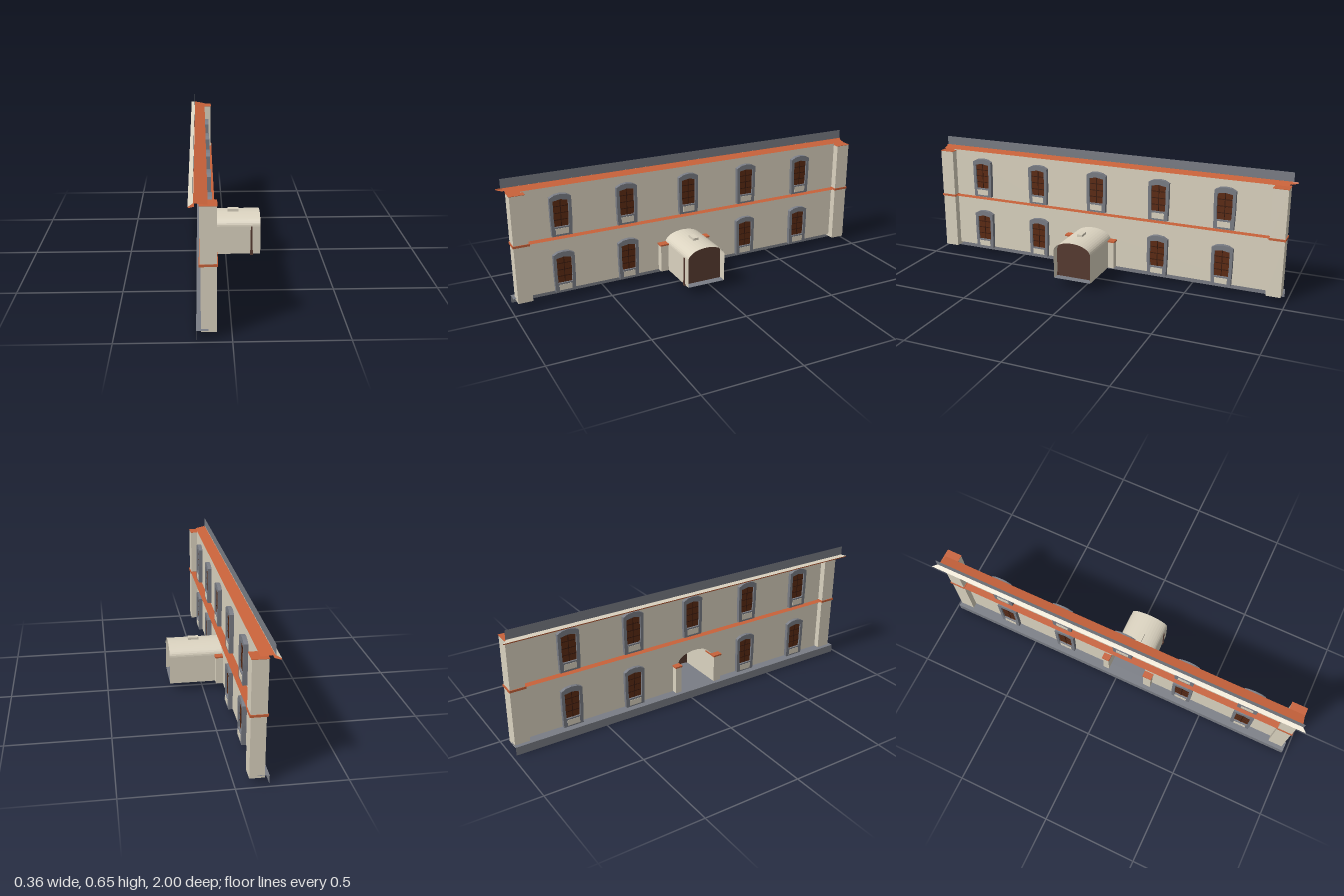
import * as THREE from 'three';

const mat = (color) => new THREE.MeshStandardMaterial({ color, side: THREE.DoubleSide, flatShading: true });
const stone = mat(0xdbd3c0), orange = mat(0xc8623a), slate = mat(0x7a7d85);
const wood = mat(0x5c2a12), darkWood = mat(0x3a1a0c), doorWood = mat(0x573a30);

function add(parent, name, geometry, material) {
  const mesh = new THREE.Mesh(geometry, material);
  mesh.name = name;
  parent.add(mesh);
  return mesh;
}

// Box given by its limits on each axis
function box(x0, x1, y0, y1, z0, z1) {
  return new THREE.BoxGeometry(x1 - x0, y1 - y0, z1 - z0)
    .translate((x0 + x1) / 2, (y0 + y1) / 2, (z0 + z1) / 2);
}

// Shape drawn in (z, y), given thickness along x
function extrudeX(shape, x0, x1) {
  return new THREE.ExtrudeGeometry(shape, { depth: x1 - x0, bevelEnabled: false, curveSegments: 16 })
    .rotateY(-Math.PI / 2).translate(x1, 0, 0);
}

// Open strip between matching rows of points
function strip(rowA, rowB) {
  const pos = [], index = [];
  rowA.forEach((a, i) => {
    pos.push(...a, ...rowB[i]);
    if (i) {
      const k = 2 * i;
      index.push(k - 2, k - 1, k, k, k - 1, k + 1);
    }
  });
  const g = new THREE.BufferGeometry();
  g.setAttribute('position', new THREE.Float32BufferAttribute(pos, 3));
  g.setIndex(index);
  g.computeVertexNormals();
  return g;
}

// Profile of [x, y, half length] run along z, without end caps
const run = (profile) => strip(
  profile.map(([x, y, h]) => [x, y, h]),
  profile.map(([x, y, h]) => [x, y, -h]));

// Passage outline in (z, y): straight sides under a flattened arch
const Z0 = -0.052, Z1 = 0.153, FLOOR = 0.043, SPRING = 0.192, CROWN = 0.246;
function archPoints(inset = 0) {
  const c = (Z0 + Z1) / 2, r = (Z1 - Z0) / 2 - inset;
  const pts = [[c + r, FLOOR]];
  for (let i = 0; i <= 20; i++) {
    const a = Math.PI * i / 20;
    pts.push([c + r * Math.cos(a), SPRING + (CROWN - inset - SPRING) * Math.sin(a)]);
  }
  pts.push([c - r, FLOOR]);
  return pts;
}
const toVectors = (pts) => pts.map(([z, y]) => new THREE.Vector2(z, y));

// Window surround outline with a cambered head
function windowOutline(halfWidth, bottom, shoulder, top) {
  return toVectors([
    [-halfWidth * 0.94, bottom], [halfWidth * 0.94, bottom], [halfWidth, shoulder * 0.5],
    [halfWidth, shoulder], [halfWidth * 0.55, top - 0.004], [0, top],
    [-halfWidth * 0.55, top - 0.004], [-halfWidth, shoulder], [-halfWidth, shoulder * 0.5]]);
}

function makeWindow() {
  const g = new THREE.Group();
  g.name = 'window';
  const frame = new THREE.Shape(windowOutline(0.055, 0, 0.2, 0.217));
  frame.holes.push(new THREE.Path(windowOutline(0.039, 0.048, 0.183, 0.19)));
  add(g, 'windowFrame', extrudeX(frame, -0.021, 0.021), slate);
  add(g, 'windowShutter', box(-0.012, 0.012, 0.047, 0.19, -0.04, 0.04), wood);
  add(g, 'shutterMullion', box(-0.014, 0.014, 0.048, 0.188, -0.002, 0.002), darkWood);
  for (const y of [0.083, 0.118, 0.153])
    add(g, 'shutterRail', box(-0.014, 0.014, y - 0.002, y + 0.002, -0.038, 0.038), darkWood);
  add(g, 'sillPanel', box(-0.0225, 0.0225, 0.01, 0.04, -0.033, 0.033), stone);
  return g;
}

export function createModel() {
  const model = new THREE.Group();
  model.name = 'facade';

  // Main wall, cut by the arched passage
  const wall = new THREE.Shape(toVectors([
    [-0.9, FLOOR], ...archPoints().reverse(), [0.9, FLOOR], [0.9, 0.594], [-0.9, 0.594]]));
  add(model, 'wall', extrudeX(wall, -0.103, -0.1), stone);

  // Windows on two storeys; the passage takes the middle bay below
  [0.715, 0.37, 0.025, -0.32, -0.665].forEach((z, i) => {
    for (const y of [0.04, 0.342]) {
      if (i === 2 && y < 0.1) continue;
      const w = makeWindow();
      w.position.set(-0.1, y, z);
      model.add(w);
    }
  });

  // Corner pillars with string-course lips and caps
  for (const [name, z0, z1] of [['left', 0.89, 0.965], ['right', -0.975, -0.9]]) {
    add(model, name + 'LowerPillar', box(-0.132, -0.064, 0.03, 0.326, z0, z1), stone);
    add(model, name + 'UpperPillar', box(-0.135, -0.063, 0.336, 0.588, z0, z1), stone);
    add(model, name + 'PillarBand', box(-0.139, -0.059, 0.326, 0.337, z0 - 0.004, z1 + 0.004), orange);
    add(model, name + 'PillarCap', box(-0.137, -0.061, 0.587, 0.589, z0 - 0.002, z1 + 0.002), orange);
  }

  // String course between storeys
  add(model, 'stringCourse', run([[-0.138, 0.334, 0.965], [-0.06, 0.334, 0.965]]), orange);

  // Cornice, its pale sloping lip, and the parapet strip
  add(model, 'corniceTop', run([[-0.1, 0.594, 0.965], [-0.158, 0.603, 0.975]]), orange);
  add(model, 'corniceLip', run([[-0.158, 0.604, 0.975], [-0.18, 0.597, 1]]), stone);
  add(model, 'corniceUnderside',
    run([[-0.18, 0.597, 1], [-0.178, 0.591, 0.998], [-0.155, 0.589, 0.975]]), orange);
  add(model, 'parapet', run([[-0.16, 0.603, 0.98], [-0.16, 0.65, 0.98]]), slate);

  // Plinth face with the ledge behind it
  add(model, 'plinth', run([[-0.152, 0, 0.98], [-0.152, FLOOR, 0.98], [-0.1, FLOOR, 0.98]]), slate);

  // Vaulted passage
  const arch = archPoints();
  add(model, 'passageVault', strip(
    arch.map(([z, y]) => [0.175, y, z]), arch.map(([z, y]) => [-0.101, y, z])), stone);
  add(model, 'passageFloor', strip(
    [[-0.1, FLOOR, Z1], [-0.1, FLOOR, Z0]], [[0.175, FLOOR, Z1], [0.175, FLOOR, Z0]]), slate);
  add(model, 'roofBlock', box(0.01, 0.066, 0.236, 0.258, 0.042, 0.07), stone);

  // Door set back in the passage mouth, with its post at one side
  add(model, 'door', extrudeX(new THREE.Shape(toVectors(archPoints(0.002))), 0.126, 0.134), doorWood);
  add(model, 'doorPost', box(0.125, 0.134, FLOOR, SPRING, Z1 - 0.006, Z1 + 0.003), doorWood);
  add(model, 'doorPostFoot', box(0.123, 0.137, 0.038, 0.062, Z1 - 0.006, Z1 + 0.005), doorWood);

  // Passage jambs with projecting imposts
  for (const [z0, z1] of [[Z1, 0.195], [-0.084, Z0]]) {
    add(model, 'passageJamb', box(-0.132, -0.064, FLOOR, 0.19, z0, z1), stone);
    add(model, 'passageImpost', box(-0.137, -0.059, 0.189, 0.197, z0 - 0.004, z1 + 0.004), orange);
  }

  return model;
}
